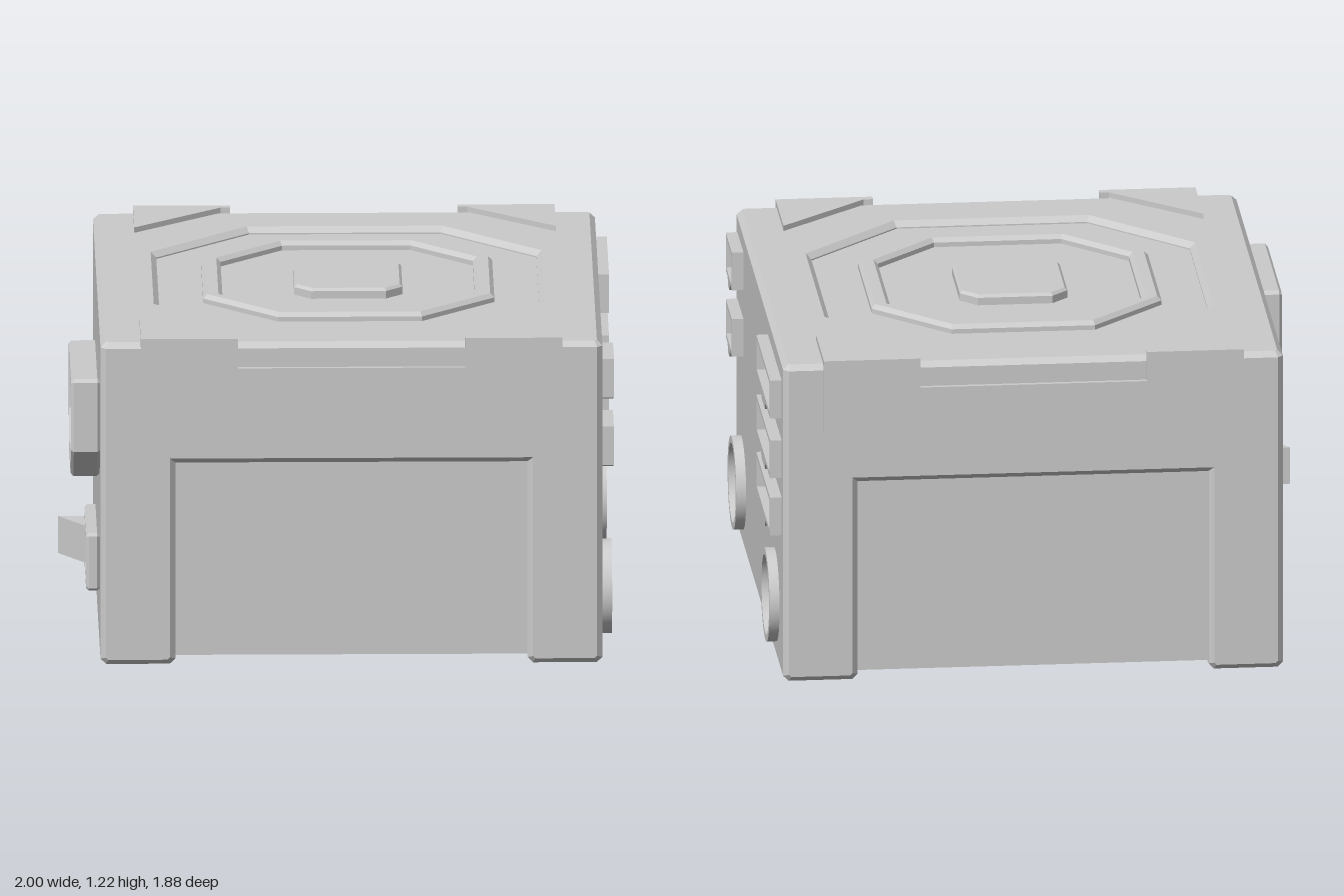
import * as THREE from 'three';
import { toCreasedNormals } from 'three/addons/utils/BufferGeometryUtils.js';

const CX = 0.05; // middle of the case in x
const RIGHT = 0.955, LEFT = -0.855, HALF_Z = 0.925;

const path = (pts) => new THREE.Shape(pts.map(([x, y]) => new THREE.Vector2(x, y)));

// Rectangle with cut corners: b for the lower pair, t for the upper pair
const cutRect = (x0, y0, x1, y1, b, t = b) => path([
  [x0 + b, y0], [x1 - b, y0], [x1, y0 + b], [x1, y1 - t],
  [x1 - t, y1], [x0 + t, y1], [x0, y1 - t], [x0, y0 + b],
]);
const octagon = (hx, hz, c) => cutRect(CX - hx, -hz, CX + hx, hz, c);
const rect = (x0, y0, x1, y1) => path([[x0, y0], [x1, y0], [x1, y1], [x0, y1]]);

// Extrusion from z = 0 to z = depth with its bevel kept inside the outline
function extrude(shape, depth, bevel = 0, holes = []) {
  shape.holes.push(...holes);
  return new THREE.ExtrudeGeometry(shape, {
    depth: depth - 2 * bevel, bevelEnabled: bevel > 0, bevelThickness: bevel,
    bevelSize: bevel, bevelOffset: -bevel, bevelSegments: 1, curveSegments: 40,
  }).translate(0, 0, bevel);
}

export function createModel() {
  const group = new THREE.Group();
  const material = new THREE.MeshStandardMaterial({ color: 0xcccccc });
  const add = (name, geometry, parent = group) => {
    const mesh = new THREE.Mesh(geometry, material);
    mesh.name = name;
    parent.add(mesh);
    return mesh;
  };
  // Lay an extrusion flat, from y0 up to y1 (outline y becomes -z)
  const layer = (name, shape, y0, y1, bevel, holes) =>
    add(name, extrude(shape, y1 - y0, bevel, holes).rotateX(-Math.PI / 2).translate(0, y0, 0));
  // Outline x is -z on the right side and +z on the left side
  const onRight = (name, geo) => add(name, geo.rotateY(Math.PI / 2).translate(RIGHT, 0, 0));
  const onLeft = (name, geo) => add(name, geo.rotateY(-Math.PI / 2).translate(LEFT, 0, 0));

  // Arched shell, open at the front, back and underside
  const c = 0.02, a = -0.585, b = 0.685, h = 0.75;
  add('shell', extrude(path([
    [LEFT + c, 0], [a - c, 0], [a, c], [a, h], [b, h], [b, c], [b + c, 0],
    [RIGHT - c, 0], [RIGHT, c], [RIGHT, 1.17], [LEFT, 1.17], [LEFT, c],
  ]), 2 * HALF_Z, c).translate(0, 0, -HALF_Z));

  // Lid with the sunken octagon, and the recessed core below it
  layer('lid', cutRect(LEFT, -HALF_Z, RIGHT, HALF_Z, c), 0.8, 1.2, c, [octagon(0.685, 0.7, 0.34)]);
  add('core', new THREE.BoxGeometry(1.5, 1.145, 1.79).translate(CX, 0.6025, 0));

  // Fan cover
  layer('fanRing', octagon(0.525, 0.53, 0.265), 1.15, 1.207, 0.015, [octagon(0.455, 0.475, 0.225)]);
  layer('fanHub', octagon(0.195, 0.21, 0.06), 1.15, 1.213, 0.01);

  // Notched plates over the front and back, with corner triangles on the lid
  for (const s of [1, -1]) {
    const plate = extrude(path([
      [-0.71, 0.955], [0.81, 0.955], [0.81, 1.22], [0.46, 1.22],
      [0.46, 1.11], [-0.36, 1.11], [-0.36, 1.22], [-0.71, 1.22],
    ]), 0.03);
    add('edgePlate', plate.translate(0, 0, s > 0 ? 0.912 : -0.942));
    for (const m of [1, -1]) {
      const x = CX + m * 0.76;
      layer('cornerPlate', path([[x, s * 0.942], [x - m * 0.35, s * 0.942], [x, s * 0.635]]), 1.18, 1.22);
    }
  }

  // Cable sockets on the right side: [z from, z to, top y, tab half width]
  const sockets = [
    [-0.85, -0.315, 1.122, 0.09], [-0.85, -0.315, 0.895, 0.09], [-0.85, -0.315, 0.678, 0.09],
    [0.64, 0.875, 1.122, 0.047], [0.64, 0.875, 0.87, 0.047],
  ];
  for (const [z0, z1, top, w] of sockets) {
    const x0 = -z1, x1 = -z0, mid = (x0 + x1) / 2, low = top - 0.143, e = 0.016;
    onRight('cableSocket', extrude(path([
      [x0, low], [mid - w, low], [mid - w + 0.025, low - 0.03], [mid + w - 0.025, low - 0.03],
      [mid + w, low], [x1, low], [x1, top], [x0, top],
    ]), 0.042, 0, [rect(x0 + e, low + e, x1 - e, top - e)]));
  }

  // Round cable outlets
  for (const z of [0.7, -0.6]) {
    const disc = new THREE.Shape().absarc(-z, 0.23, 0.17, 0, Math.PI * 2);
    const hole = new THREE.Path().absarc(-z, 0.23, 0.145, 0, Math.PI * 2);
    onRight('cableOutlet', toCreasedNormals(extrude(disc, 0.036, 0, [hole]), 0.5));
  }

  // Mains inlet with three pins on the left side
  onLeft('mainsInlet', extrude(cutRect(0.26, 0.65, 0.83, 1.04, 0.12, 0.012), 0.105, 0.01,
    [cutRect(0.31, 0.7, 0.78, 0.99, 0.1, 0.005)]));
  for (const [z, y] of [[0.405, 0.87], [0.545, 0.81], [0.685, 0.87]])
    add('inletPin', new THREE.BoxGeometry(0.08, 0.1, 0.04).translate(LEFT - 0.04, y, z));

  // Power switch: frame and tilted rocker
  onLeft('switchFrame', extrude(cutRect(0.34, 0.235, 0.77, 0.45, 0.01), 0.05, 0.01,
    [rect(0.37, 0.272, 0.74, 0.412)]));
  const rocker = extrude(path([[0.37, 0], [0.74, 0], [0.74, 0.035], [0.53, 0.035], [0.37, 0.145]]), 0.138);
  rocker.applyMatrix4(new THREE.Matrix4().makeBasis(
    new THREE.Vector3(0, 0, 1), new THREE.Vector3(-1, 0, 0), new THREE.Vector3(0, -1, 0)));
  add('switchRocker', rocker.translate(LEFT, 0.411, 0));

  return group;
}
